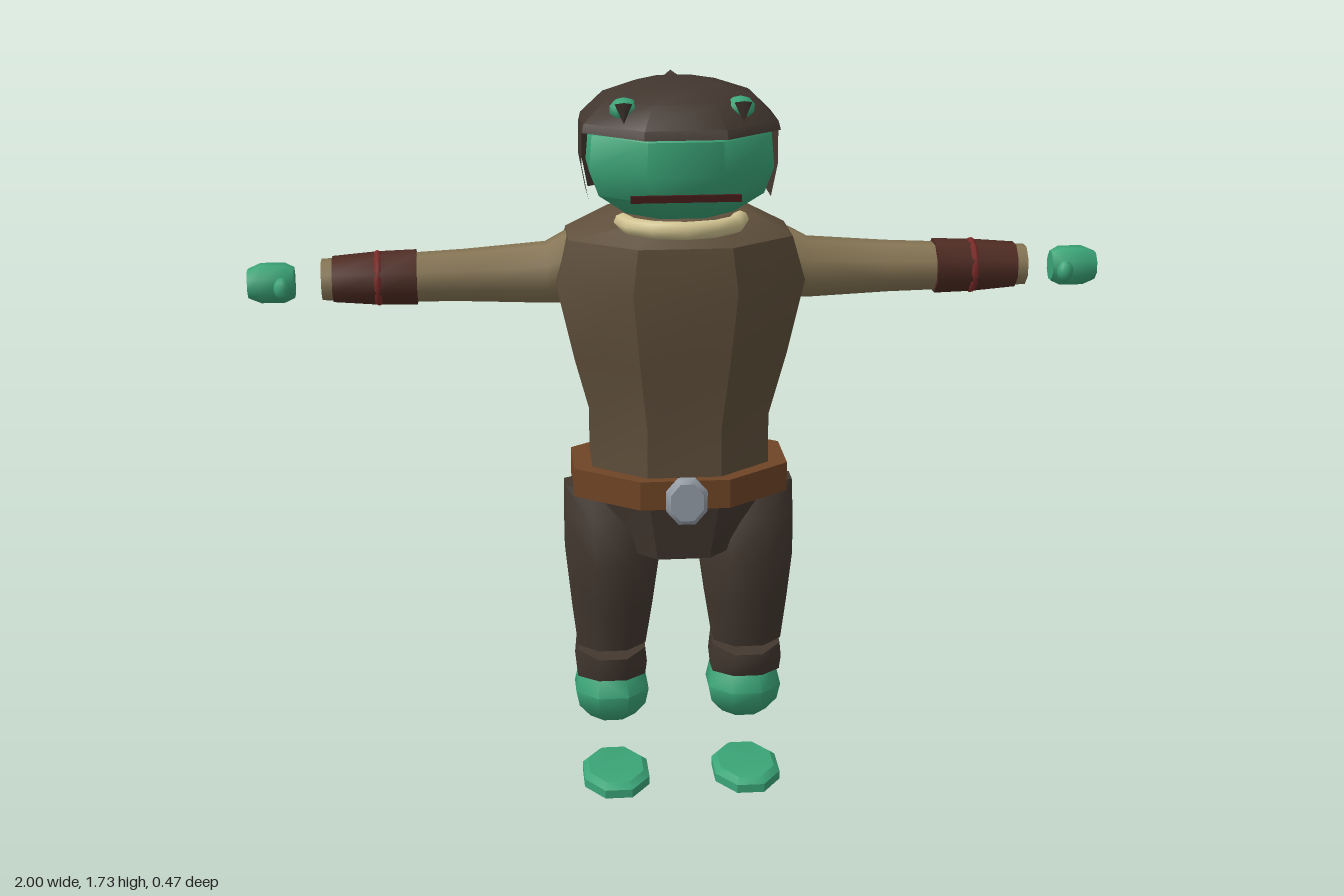
import * as THREE from 'three';
import { toCreasedNormals } from 'three/addons/utils/BufferGeometryUtils.js';

const colours = {
  skin: 0x3ba577, tunic: 0x5f4f3b, darkCloth: 0x42372f, sleeve: 0x877655, cuff: 0x4f2c23,
  redCord: 0x7c2b28, beltLeather: 0x6f4425, metal: 0x969ea8, cream: 0xd2c491, mouth: 0x451c1a,
};

// Octagonal loft. Each ring is [y, halfWidth, frontZ, backZ, centreX, tilt].
// "from" and "faces" select part of the octagon for an open shell.
function loft(rings, crease = 0.6, from = 0, faces = 8) {
  const pos = [], idx = [], n = faces + 1;
  for (const [y, rx, zf, zb, cx = 0, tilt = 0] of rings) {
    for (let j = 0; j < n; j++) {
      const a = Math.PI / 8 + (from + j) * Math.PI / 4, k = Math.cos(Math.PI / 8);
      const z = (zf + zb) / 2 + (zf - zb) / 2 * Math.sin(a) / k;
      pos.push(cx + rx * Math.cos(a) / k, y + tilt * z, z);
    }
  }
  for (let i = 0; i < rings.length - 1; i++) {
    for (let j = 0; j < faces; j++) {
      const a = i * n + j, d = a + n;
      idx.push(a, d, a + 1, a + 1, d, d + 1);
    }
  }
  if (faces === 8) {
    const top = (rings.length - 1) * n;
    for (let j = 1; j < 7; j++) idx.push(0, j, j + 1, top, top + j + 1, top + j);
  }
  const g = new THREE.BufferGeometry();
  g.setAttribute('position', new THREE.Float32BufferAttribute(pos, 3));
  g.setIndex(idx);
  return toCreasedNormals(g, crease);
}

export function createModel() {
  const model = new THREE.Group();
  const mats = {};
  for (const [name, color] of Object.entries(colours)) {
    mats[name] = new THREE.MeshStandardMaterial({ color });
    mats[name].name = name;
  }
  const add = (parent, name, geo, mat) => {
    const m = new THREE.Mesh(geo, mats[mat]);
    m.name = name;
    parent.add(m);
    return m;
  };

  // Body
  add(model, 'tunic', loft([
    [0.78, 0.21, 0.165, -0.175], [0.95, 0.21, 0.165, -0.175], [1.1, 0.25, 0.183, -0.193],
    [1.28, 0.29, 0.2, -0.213], [1.385, 0.26, 0.19, -0.19], [1.44, 0.16, 0.125, -0.125],
  ]), 'tunic');
  add(model, 'pelvis', loft([[0.62, 0.15, 0.15, -0.165], [0.78, 0.205, 0.17, -0.18]]), 'darkCloth');
  add(model, 'belt', loft([[0.76, 0.255, 0.19, -0.2], [0.83, 0.255, 0.19, -0.2]]), 'beltLeather');
  const buckle = add(model, 'buckle', loft([
    [-0.014, 0.038, 0.045, -0.045], [-0.006, 0.048, 0.056, -0.056],
    [0.006, 0.048, 0.056, -0.056], [0.014, 0.038, 0.045, -0.045],
  ]), 'metal');
  buckle.rotation.x = Math.PI / 2;
  buckle.position.set(0, 0.793, 0.225);

  // Collar: front half ring
  const collar = add(model, 'collar', new THREE.TorusGeometry(0.135, 0.021, 8, 6, Math.PI), 'cream');
  collar.rotation.x = Math.PI / 2;
  collar.scale.set(1, 0.8, 1);
  collar.position.set(0, 1.428, 0.085);

  // Head
  add(model, 'head', loft([
    [1.44, 0.125, 0.12, -0.11], [1.49, 0.19, 0.185, -0.14], [1.55, 0.212, 0.198, -0.15],
    [1.63, 0.205, 0.2, -0.15], [1.66, 0.18, 0.17, -0.14],
  ], 0.8), 'skin');
  const mouth = add(model, 'mouth', new THREE.BoxGeometry(0.25, 0.016, 0.009), 'mouth');
  mouth.position.set(0, 1.503, 0.2);

  // Hood: closed crown, and side and back panels below it
  add(model, 'hoodCrown', loft([
    [1.635, 0.227, 0.203, -0.187], [1.655, 0.222, 0.195, -0.187],
    [1.705, 0.17, 0.15, -0.155], [1.732, 0.09, 0.08, -0.11],
  ]), 'darkCloth');
  const panels = [[1.48, 0.213, 0.19, -0.178], [1.56, 0.228, 0.2, -0.183], [1.64, 0.227, 0.203, -0.187]];
  add(model, 'hoodPanels', loft(panels, 0.6, 3, 5), 'darkCloth');
  const lining = panels.map(([y, w, f, b]) => [y, w - 0.006, f - 0.004, b + 0.006]);
  const inner = loft(lining.reverse(), 0.6, 3, 5);
  add(model, 'hoodLining', inner, 'darkCloth');
  const spike = add(model, 'hoodPoint', new THREE.ConeGeometry(0.06, 0.16, 4), 'darkCloth');
  spike.scale.set(0.5, 1, 0.75);
  spike.rotation.x = Math.PI + 0.42;
  spike.position.set(0, 1.638, -0.195);

  for (const side of [1, -1]) {
    const half = new THREE.Group();
    half.name = side > 0 ? 'leftSide' : 'rightSide';
    half.scale.x = side;
    model.add(half);

    // Eye bump with a dark pointed lid
    const eye = add(half, 'eye', new THREE.SphereGeometry(0.034, 8, 5), 'skin');
    eye.scale.set(1, 0.8, 1);
    eye.position.set(0.132, 1.69, 0.105);
    const lid = add(half, 'eyeLid', new THREE.ConeGeometry(0.02, 0.045, 4), 'darkCloth');
    lid.rotation.x = Math.PI - 0.3;
    lid.position.set(0.135, 1.685, 0.14);

    // Arm, lofted along y then laid outward along x (ring centre -> height)
    const arm = new THREE.Group();
    arm.name = 'arm';
    arm.rotation.z = -Math.PI / 2;
    arm.position.y = 1.285;
    half.add(arm);
    add(arm, 'sleeve', loft([
      [0.22, 0.078, 0.05, -0.085, -0.02], [0.265, 0.08, 0.052, -0.087, -0.016],
      [0.31, 0.068, 0.045, -0.085, -0.003], [0.5, 0.057, 0.04, -0.078, 0],
      [0.62, 0.053, 0.045, -0.068, 0], [0.83, 0.045, 0.038, -0.05, 0],
    ], 1), 'sleeve');
    add(arm, 'cuff', loft([
      [0.61, 0.06, 0.055, -0.075, 0], [0.7, 0.058, 0.05, -0.068, 0], [0.805, 0.05, 0.042, -0.058, 0],
    ], 1), 'cuff');
    const cord = add(arm, 'cuffCord', new THREE.TorusGeometry(0.058, 0.009, 6, 12), 'redCord');
    cord.rotation.x = Math.PI / 2;
    cord.position.set(0, 0.7, -0.009);
    add(arm, 'hand', loft([
      [0.893, 0.034, 0.026, -0.032, 0.005], [0.915, 0.044, 0.036, -0.045, 0.005],
      [0.97, 0.044, 0.036, -0.045, 0.005], [1.0, 0.032, 0.026, -0.032, 0.005],
    ], 1), 'skin');
    const thumb = add(arm, 'thumb', new THREE.SphereGeometry(0.024, 8, 6), 'skin');
    thumb.scale.set(1.1, 0.8, 0.9);
    thumb.position.set(0.01, 0.92, 0.035);

    // Leg, ankle and floating sole
    add(half, 'trouserLeg', loft([
      [0.36, 0.083, 0.085, -0.075, 0.167], [0.47, 0.098, 0.103, -0.1, 0.165],
      [0.59, 0.112, 0.12, -0.122, 0.163], [0.69, 0.112, 0.095, -0.1, 0.164],
      [0.77, 0.11, 0.06, -0.07, 0.165],
    ], 1), 'darkCloth');
    add(half, 'trouserHem', loft([
      [0.268, 0.083, 0.07, -0.09, 0.167, 0.08], [0.305, 0.087, 0.08, -0.1, 0.167, 0],
      [0.35, 0.083, 0.078, -0.085, 0.167, -0.22],
    ], 1), 'darkCloth');
    add(half, 'ankle', loft([
      [0.152, 0.055, 0.03, -0.06, 0.165, -0.1], [0.185, 0.082, 0.058, -0.1, 0.165, -0.1],
      [0.225, 0.09, 0.07, -0.11, 0.165], [0.268, 0.08, 0.045, -0.1, 0.165],
    ], 1), 'skin');
    add(half, 'sole', loft([
      [0.005, 0.066, 0.17, -0.025, 0.162], [0.015, 0.08, 0.19, -0.043, 0.162],
      [0.036, 0.08, 0.19, -0.043, 0.162], [0.048, 0.066, 0.17, -0.025, 0.162],
    ]), 'skin');
  }

  // Inner face of the hood cloth is reversed by its ring order; rest the model on the floor
  model.children.forEach((c) => { c.position.y -= 0.005; });
  return model;
}
